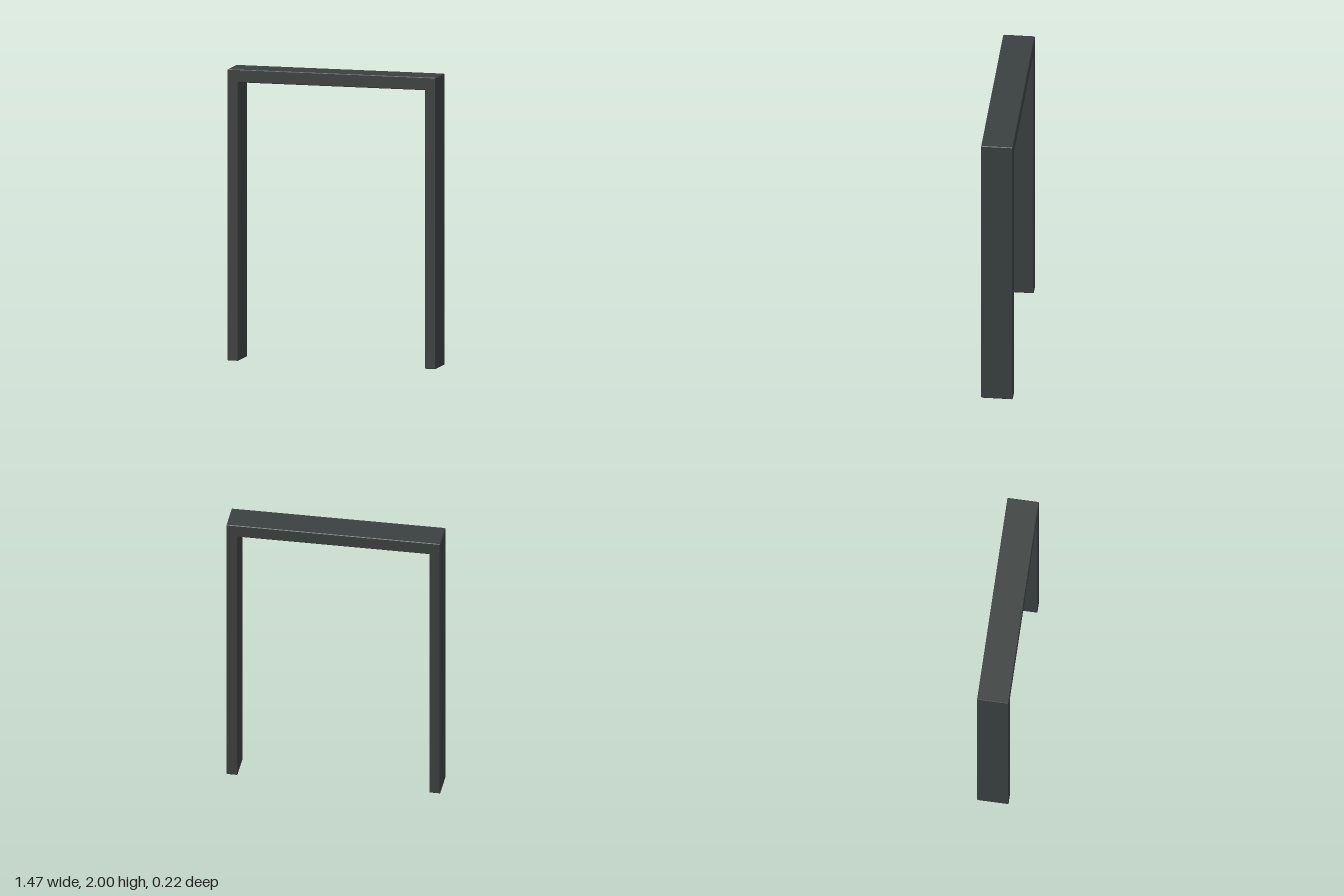
import * as THREE from 'three';

const WIDTH = 1.474, HEIGHT = 2, DEPTH = 0.216;
const POST = 0.076, LINTEL = 0.088, BEVEL = 0.004;

export function createModel() {
  const model = new THREE.Group();
  model.name = 'doorFrame';
  const material = new THREE.MeshStandardMaterial({ color: 0x3a4140, flatShading: true });

  // Outline of two posts joined by a lintel, with finely chamfered outer corners
  const x = WIDTH / 2, inner = x - POST, under = HEIGHT - LINTEL, c = BEVEL;
  const half = [
    [inner, under], [inner, c], [inner + c, 0], [x - c, 0],
    [x, c], [x, HEIGHT - c], [x - c, HEIGHT],
  ];
  const mirrored = half.map(([px, py]) => [-px, py]).reverse();
  const outline = new THREE.Shape([...half, ...mirrored].map(([px, py]) => new THREE.Vector2(px, py)));

  // Extruded front to back with a matching fine bevel on the front and back edges
  const geometry = new THREE.ExtrudeGeometry(outline, {
    depth: DEPTH - 2 * BEVEL,
    bevelEnabled: true,
    bevelThickness: BEVEL,
    bevelSize: BEVEL,
    bevelOffset: -BEVEL,
    bevelSegments: 1,
  });
  geometry.translate(0, 0, BEVEL - DEPTH / 2);

  const frame = new THREE.Mesh(geometry, material);
  frame.name = 'postsAndLintel';
  model.add(frame);
  return model;
}
